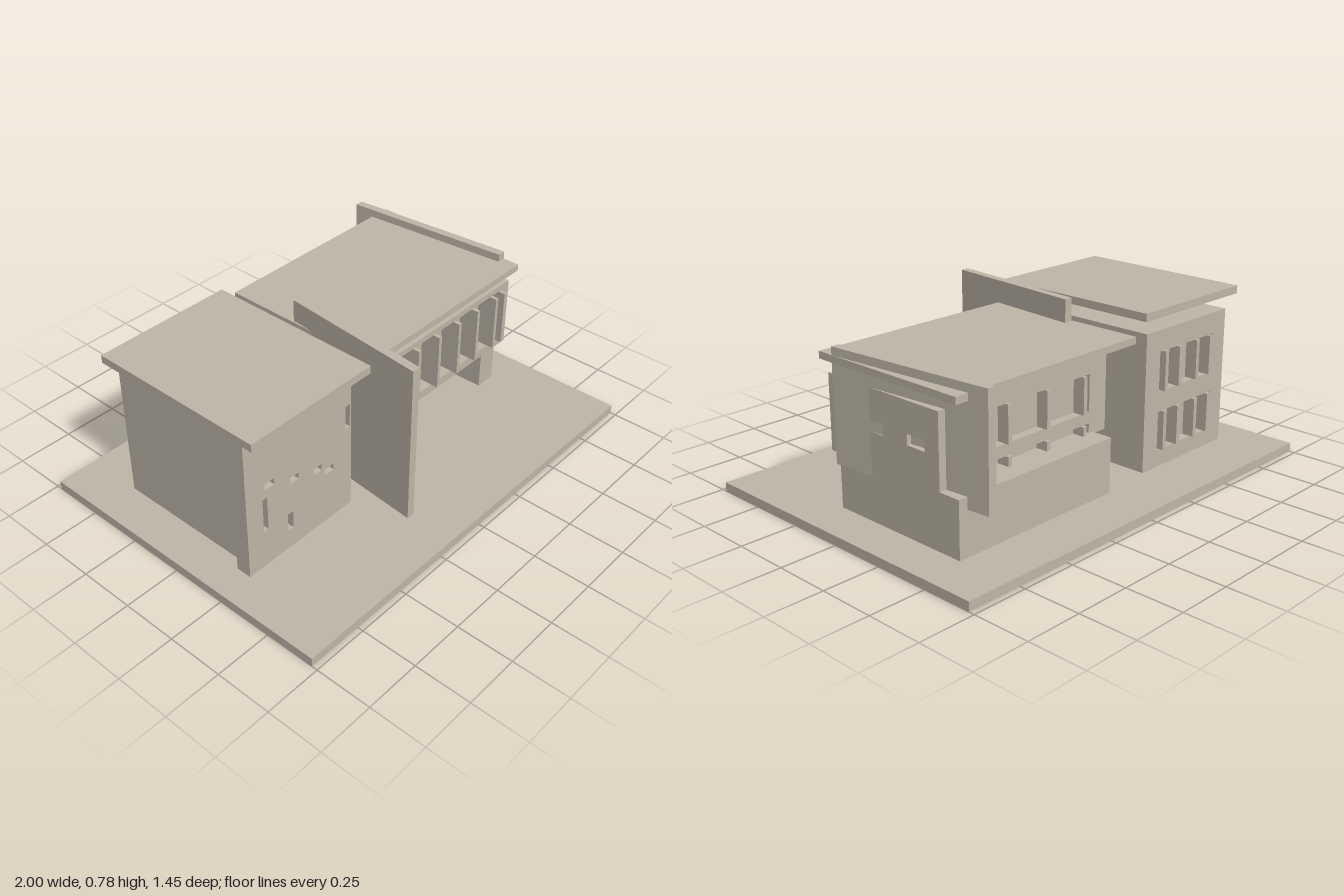
import * as THREE from 'three';

export function createModel() {
  const model = new THREE.Group();
  model.name = 'house';
  const card = new THREE.MeshStandardMaterial({ color: 0xc0b8a9 });
  card.name = 'warm grey card';

  // Box given by its limits on each axis
  function box(name, x0, x1, y0, y1, z0, z1) {
    const m = new THREE.Mesh(new THREE.BoxGeometry(x1 - x0, y1 - y0, z1 - z0), card);
    m.position.set((x0 + x1) / 2, (y0 + y1) / 2, (z0 + z1) / 2);
    m.name = name;
    model.add(m);
    return m;
  }

  function outline(Type, [a0, a1, y0, y1]) {
    const s = new Type();
    s.moveTo(a0, y0);
    s.lineTo(a1, y0);
    s.lineTo(a1, y1);
    s.lineTo(a0, y1);
    s.closePath();
    return s;
  }

  // Upright wall with rectangular holes, extruded from z = start to start + depth
  function wall(name, limits, holes, start, depth) {
    const shape = outline(THREE.Shape, limits);
    for (const h of holes) shape.holes.push(outline(THREE.Path, h));
    const m = new THREE.Mesh(new THREE.ExtrudeGeometry(shape, { depth, bevelEnabled: false }), card);
    m.position.z = start;
    m.name = name;
    model.add(m);
    return m;
  }

  // Slightly turned free-standing blade: plan runs from back to front
  function blade(name, xb, zb, xf, zf, width, y0, y1) {
    const s = new THREE.Shape();
    s.moveTo(xb, -zb);
    s.lineTo(xf, -zf);
    s.lineTo(xf + width, -zf);
    s.lineTo(xb + width, -zb);
    s.closePath();
    const m = new THREE.Mesh(new THREE.ExtrudeGeometry(s, { depth: y1 - y0, bevelEnabled: false }), card);
    m.rotation.x = -Math.PI / 2;
    m.position.y = y0;
    m.name = name;
    model.add(m);
  }

  function mullions(name, xs, w, y0, y1, z0, z1) {
    for (const x of xs) box(name, x - w / 2, x + w / 2, y0, y1, z0, z1);
  }

  box('groundSlab', -1, 1, 0, 0.04, -0.725, 0.725);

  // Tower: body, pierced front screen, windowed back wall and floating roof
  box('towerBody', -0.82, -0.272, 0.04, 0.65, -0.42, 0.2);
  wall('towerFrontScreen', [-0.86, -0.278, 0.04, 0.71], [
    [-0.76, -0.71, 0.415, 0.445], [-0.625, -0.58, 0.36, 0.39],
    [-0.495, -0.45, 0.32, 0.35], [-0.43, -0.38, 0.28, 0.31],
    [-0.775, -0.75, 0.215, 0.375], [-0.645, -0.615, 0.13, 0.215],
    [-0.31, -0.285, 0.44, 0.55],
  ], 0.2, 0.07);
  const rows = [[0.115, 0.29], [0.38, 0.555]];
  wall('towerBackWall', [-0.82, -0.272, 0.04, 0.65],
    rows.map(([a, b]) => [-0.735, -0.365, a, b]), -0.46, 0.04);
  for (const [a, b] of rows) {
    mullions('towerMullion', [-0.705, -0.61, -0.49, -0.395], 0.02, a, b, -0.475, -0.42);
  }
  box('towerRoof', -0.88, -0.245, 0.71, 0.745, -0.475, 0.34);

  // Lower storey with a recessed porch and a rear terrace
  box('lowerStorey', -0.02, 0.818, 0.04, 0.27, -0.38, 0.03);
  box('rearTerrace', -0.02, 0.818, 0.04, 0.28, -0.49, -0.38);
  box('porchPier', -0.02, 0.13, 0.04, 0.27, 0.03, 0.18);
  box('porchPier', 0.72, 0.818, 0.04, 0.27, 0.03, 0.18);
  box('porchLintel', 0.13, 0.72, 0.26, 0.27, 0.03, 0.18);

  // Upper storey: solid core wrapped by pierced walls
  box('upperCore', -0.1, 0.78, 0.27, 0.59, -0.35, 0.17);
  wall('upperFrontWall', [-0.1, 0.818, 0.27, 0.59], [[-0.015, 0.762, 0.31, 0.565]], 0.17, 0.06);
  mullions('frontMullion', [-0.008, 0.025, 0.16, 0.295, 0.43, 0.56, 0.692, 0.754],
    0.017, 0.31, 0.565, 0.17, 0.262);
  wall('upperBackWall', [-0.1, 0.818, 0.27, 0.59],
    [[0, 0.72, 0.37, 0.53], [0, 0.72, 0.28, 0.32]], -0.39, 0.04);
  for (const [a, b] of [[0.37, 0.53], [0.28, 0.32]]) {
    mullions('backMullion', [0.04, 0.255, 0.47, 0.685], 0.02, a, b, -0.405, -0.35);
  }
  // Side wall with two slots, turned so its outer face looks to +x
  const side = wall('upperSideWall', [-0.17, 0.35, 0.27, 0.59],
    [[-0.01, 0.085, 0.415, 0.46], [0.22, 0.315, 0.415, 0.46]], 0, 0.038);
  side.rotation.y = Math.PI / 2;
  side.position.x = 0.78;

  box('mainRoof', -0.15, 0.835, 0.645, 0.675, -0.5, 0.26);

  // Turned blade walls
  blade('tallBladeWall', -0.14, -0.165, -0.2, 0.51, 0.038, 0.04, 0.775);
  blade('raisedBladeWall', 0.73, -0.59, 0.798, 0.182, 0.037, 0.23, 0.71);

  return model;
}
